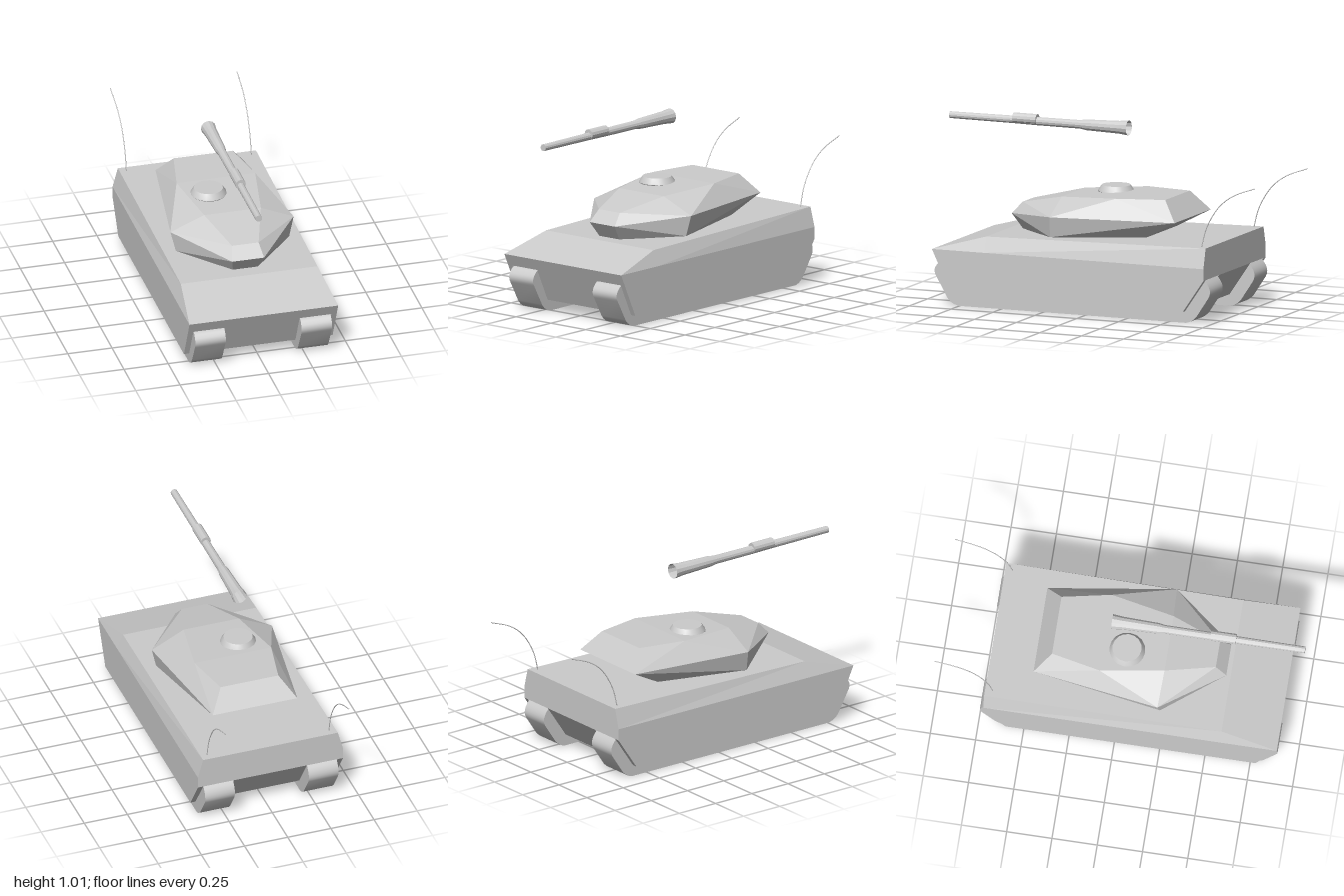
import * as THREE from 'three';
import { toCreasedNormals } from 'three/addons/utils/BufferGeometryUtils.js';
import { ConvexGeometry } from 'three/addons/geometries/ConvexGeometry.js';

const grey = new THREE.MeshStandardMaterial({ color: 0xcccccc });
const greyOpen = new THREE.MeshStandardMaterial({ color: 0xcccccc, side: THREE.DoubleSide });

function part(name, geometry, material = grey) {
  const mesh = new THREE.Mesh(geometry, material);
  mesh.name = name;
  return mesh;
}

// Hull: one cross-section with two track slots, lofted through three stations
function hullGeometry() {
  const half = (topX, topY) => [
    [topX, topY], [0.42, 0.31], [0.42, 0.245], [0.42, 0.065],
    [0.39, 0.065], [0.39, 0.245], [0.21, 0.245], [0.21, 0.065],
  ];
  const station = (topX, topY, zOf) => {
    const right = half(topX, topY);
    const all = [...right, ...right.map(([x, y]) => [-x, y]).reverse()];
    return all.map(([x, y]) => [x, y, zOf(y)]);
  };
  const rearZ = (y) => (y < 0.245 ? -0.72 + (0.245 - y) * 0.68 : -0.72);
  const noseZ = (y) => 0.9 - (0.31 - y) * 0.48;
  const midZ = (y) => Math.min(0.59, noseZ(y));
  const rings = [
    station(0.39, 0.42, rearZ),
    station(0.386, 0.395, midZ),
    station(0.42, 0.31, noseZ),
  ];
  const pos = [];
  const quad = (a, b, c, d) => pos.push(...a, ...b, ...c, ...a, ...c, ...d);
  const n = rings[0].length;
  for (let i = 0; i < 2; i++) {
    const r = rings[i], f = rings[i + 1];
    for (let j = 0; j < n; j++) {
      const k = (j + 1) % n;
      quad(r[j], f[j], f[k], r[k]);
    }
  }
  // End plates, split around the slots
  const plates = [[0, 1, 14, 15], [1, 2, 13, 14], [2, 3, 4, 5], [6, 7, 8, 9], [10, 11, 12, 13]];
  for (const p of plates) {
    quad(...p.map((i) => rings[0][i]));
    quad(...[...p].reverse().map((i) => rings[2][i]));
  }
  const g = new THREE.BufferGeometry();
  g.setAttribute('position', new THREE.Float32BufferAttribute(pos, 3));
  g.computeVertexNormals();
  return g;
}

// Track: side outline with rounded ends, extruded across its width
function trackGeometry() {
  const width = 0.172;
  const s = new THREE.Shape();
  s.moveTo(-0.6, 0);
  s.lineTo(0.75, 0);
  s.quadraticCurveTo(0.8, 0.005, 0.825, 0.045);
  s.lineTo(0.888, 0.155);
  s.quadraticCurveTo(0.912, 0.19, 0.885, 0.22);
  s.quadraticCurveTo(0.87, 0.243, 0.84, 0.243);
  s.lineTo(-0.71, 0.243);
  s.quadraticCurveTo(-0.762, 0.19, -0.735, 0.145);
  s.lineTo(-0.665, 0.04);
  s.quadraticCurveTo(-0.635, 0.005, -0.6, 0);
  const g = new THREE.ExtrudeGeometry(s, { depth: width, bevelEnabled: false, curveSegments: 6 });
  g.rotateY(-Math.PI / 2);
  g.translate(width / 2, 0, 0);
  return toCreasedNormals(g, 0.6);
}

// Turret: faceted wedge from mirrored corner points
function turretGeometry() {
  const corners = [
    [0.07, 0.395, 0.51], [0.32, 0.405, 0.24], [0.2, 0.42, -0.28],
    [0.09, 0.48, 0.57], [0.348, 0.52, 0.23], [0.245, 0.52, -0.47],
    [0.075, 0.545, 0.51], [0.16, 0.605, 0.24], [0.222, 0.627, -0.11], [0.167, 0.63, -0.38],
  ];
  const points = corners.flatMap(([x, y, z]) => [
    new THREE.Vector3(x, y, z), new THREE.Vector3(-x, y, z),
  ]);
  return new ConvexGeometry(points);
}

// Turned part from [radius, height] pairs
function turned(profile, sides) {
  const g = new THREE.LatheGeometry(profile.map(([r, h]) => new THREE.Vector2(r, h)), sides);
  return toCreasedNormals(g, 0.5);
}

export function createModel() {
  const model = new THREE.Group();
  model.name = 'tank';
  model.add(part('hull', hullGeometry()));
  model.add(part('turret', turretGeometry()));

  // Commander's hatch
  const hatch = part('hatch', turned([[0.085, 0.59], [0.1, 0.617], [0.097, 0.624], [0.08, 0.65], [0, 0.65]], 16));
  hatch.position.set(-0.077, 0, 0.02);
  model.add(hatch);

  // Gun, detached above the turret, with an open rear socket
  const gun = new THREE.Group();
  gun.name = 'gun';
  gun.add(part('barrel', turned([
    [0.042, -0.065], [0.036, -0.01], [0.034, 0.05], [0.03, 0.19], [0.024, 0.225],
    [0.023, 0.48], [0.021, 0.62], [0.019, 1], [0, 1],
  ], 12), greyOpen));
  const sleeve = part('sleeve', turned([[0, 0.48], [0.029, 0.48], [0.029, 0.62], [0, 0.62]], 12));
  sleeve.position.z = -0.01;
  gun.add(sleeve);
  gun.rotation.x = Math.PI / 2;
  gun.position.set(-0.055, 0.972, 0);
  model.add(gun);

  // Tracks and whip antennas on both sides
  const track = trackGeometry();
  for (const side of [1, -1]) {
    const name = side > 0 ? 'left' : 'right';
    const t = part(name + 'Track', track);
    t.position.x = side * 0.3;
    model.add(t);

    const whip = new THREE.CatmullRomCurve3([
      [0.353, 0.41, -0.677], [0.353, 0.53, -0.71], [0.354, 0.65, -0.785],
      [0.356, 0.715, -0.87], [0.358, 0.765, -0.999],
    ].map(([x, y, z]) => new THREE.Vector3(side * x, y, z)));
    model.add(part(name + 'Antenna', new THREE.TubeGeometry(whip, 16, 0.0028, 6)));
  }
  return model;
}
